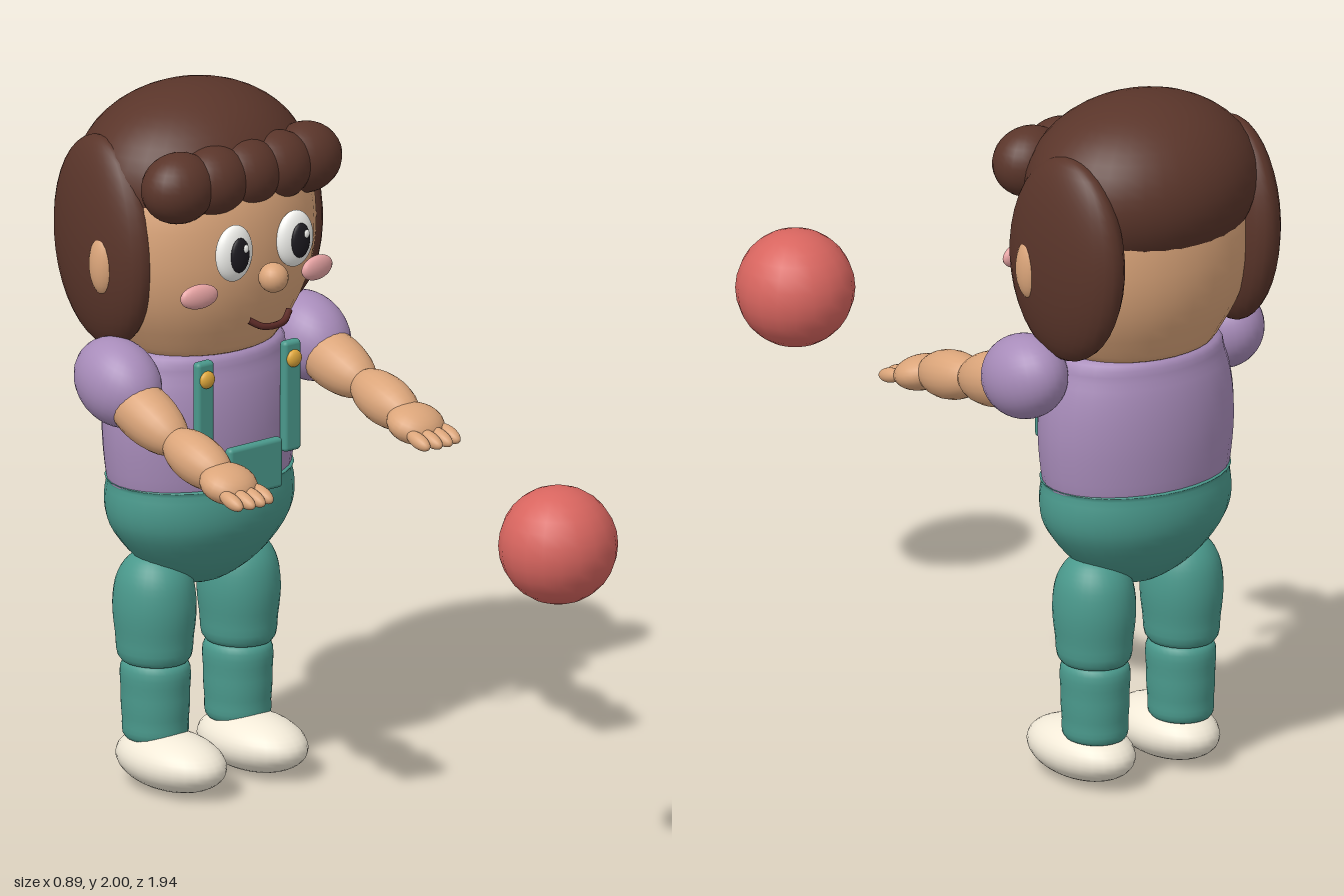
import * as THREE from 'three';
import { RoundedBoxGeometry } from 'three/addons/geometries/RoundedBoxGeometry.js';

const mat = (color) => new THREE.MeshStandardMaterial({ color });
const HAIR = mat(0x5a352a), SKIN = mat(0xdba57a), SHIRT = mat(0xa88cba), TEAL = mat(0x4a998c);
const SHOE = mat(0xf2ead8), BALL = mat(0xd8655f), GOLD = mat(0xe0a83c), WHITE = mat(0xf4f4f0);
const BLACK = mat(0x1c1a20), PINK = mat(0xe6a3a3), MOUTH = mat(0x5a2a26);

export function createModel() {
  const group = new THREE.Group();

  function add(name, geometry, material, x = 0, y = 0, z = 0, parent = group) {
    const mesh = new THREE.Mesh(geometry, material);
    mesh.name = name;
    mesh.position.set(x, y, z);
    parent.add(mesh);
    return mesh;
  }
  // Ellipsoid with centre p and radii r
  function blob(name, material, p, r, segments = 28) {
    const mesh = add(name, new THREE.SphereGeometry(1, segments, Math.round(segments * 0.7)), material, ...p);
    mesh.scale.set(...r);
    return mesh;
  }
  // Smooth turned body, flattened front to back
  function turned(name, material, profile, depth, x, z) {
    const points = new THREE.SplineCurve(profile.map(([r, y]) => new THREE.Vector2(r, y))).getPoints(24);
    points.forEach((p) => { p.x = Math.max(p.x, 0); });
    const mesh = add(name, new THREE.LatheGeometry(points, 32), material, x, 0, z);
    mesh.scale.z = depth;
    return mesh;
  }
  // Ellipsoid stretched along the line from a to b
  function limb(name, material, a, b, radius, overlap = 0.02) {
    const from = new THREE.Vector3(...a), to = new THREE.Vector3(...b);
    const mid = from.clone().add(to).multiplyScalar(0.5);
    const mesh = blob(name, material, mid.toArray(), [radius, from.distanceTo(to) / 2 + overlap, radius], 22);
    mesh.quaternion.setFromUnitVectors(new THREE.Vector3(0, 1, 0), to.sub(from).normalize());
    return mesh;
  }

  // Torso and hips
  turned('shirt', SHIRT, [[0.27, 0.86], [0.285, 0.9], [0.297, 1.02], [0.292, 1.13],
    [0.27, 1.22], [0.23, 1.28], [0, 1.3]], 0.735, 0, -0.65);
  turned('trouserSeat', TEAL, [[0, 0.56], [0.09, 0.585], [0.19, 0.65], [0.265, 0.74],
    [0.287, 0.81], [0.28, 0.88], [0.26, 0.893], [0, 0.895]], 0.775, 0, -0.648);

  // Bib pocket
  add('bibPocket', new RoundedBoxGeometry(0.19, 0.145, 0.03, 3, 0.012), TEAL, 0, 0.948, -0.411);

  // Head, cap of hair and face centre
  turned('head', SKIN, [[0, 1.26], [0.2, 1.265], [0.26, 1.32], [0.32, 1.43], [0.347, 1.56],
    [0.335, 1.71], [0.27, 1.83], [0.15, 1.92], [0, 1.95]], 0.82, 0, -0.65);
  blob('hairCap', HAIR, [0, 1.75, -0.68], [0.345, 0.25, 0.288], 36);
  for (let i = -2; i <= 2; i++) {
    blob('fringeCurl', HAIR, [i * 0.112, 1.79, -0.452 - 0.003 * i * i], [0.112, 0.1, 0.094], 24);
  }
  blob('nose', SKIN, [0, 1.52, -0.325], [0.042, 0.042, 0.042], 20);
  const smile = new THREE.CatmullRomCurve3([[-0.072, 1.405, -0.345], [-0.035, 1.385, -0.325],
    [0.035, 1.385, -0.325], [0.072, 1.405, -0.345]].map((p) => new THREE.Vector3(...p)));
  add('mouth', new THREE.TubeGeometry(smile, 20, 0.01, 8), MOUTH);

  for (const s of [-1, 1]) {
    // Side hair, ears and face details
    const lock = blob('sideHair', HAIR, [s * 0.283, 1.59, -0.715], [0.09, 0.3, 0.215]);
    lock.rotation.set(-0.08, s * 0.1, 0);
    blob('ear', SKIN, [s * 0.352, 1.553, -0.635], [0.037, 0.088, 0.046], 20);
    blob('eye', WHITE, [s * 0.108, 1.602, -0.365], [0.062, 0.081, 0.03]);
    blob('pupil', BLACK, [s * 0.108, 1.602, -0.339], [0.032, 0.05, 0.014], 20);
    blob('eyeGlint', WHITE, [s * 0.108 + 0.012, 1.622, -0.326], [0.009, 0.012, 0.005], 12);
    const cheek = blob('cheek', PINK, [s * 0.21, 1.49, -0.392], [0.06, 0.035, 0.02], 20);
    cheek.rotation.y = s * 0.15;

    // Braces and buttons
    add('brace', new RoundedBoxGeometry(0.06, 0.32, 0.03, 3, 0.012), TEAL, s * 0.155, 1.12, -0.441);
    blob('button', GOLD, [s * 0.155, 1.23, -0.424], [0.025, 0.025, 0.014], 18);

    // Legs and shoes
    turned('thigh', TEAL, [[0, 0.68], [0.06, 0.665], [0.1, 0.61], [0.113, 0.53],
      [0.106, 0.44], [0.09, 0.365], [0, 0.355]].reverse(), 1.08, s * 0.15, -0.66);
    turned('shin', TEAL, [[0, 0.13], [0.08, 0.14], [0.09, 0.2], [0.093, 0.27],
      [0.087, 0.36], [0, 0.37]], 1.08, s * 0.147, -0.66);
    blob('shoe', SHOE, [s * 0.145, 0.087, -0.593], [0.12, 0.082, 0.195]);

    // Reaching arm; the left one is held a little higher
    const lift = s > 0 ? 0.045 : 0;
    const elbow = [s * 0.335, 1.105 + lift * 0.8, -0.34];
    const palm = [s * 0.328, 1.04 + lift, -0.12 + lift * 0.3];
    const sleeve = blob('sleeve', SHIRT, [s * 0.337, 1.22, -0.59], [0.108, 0.12, 0.145]);
    sleeve.rotation.x = 0.35;
    limb('upperArm', SKIN, [s * 0.34, 1.21, -0.6], elbow, 0.08, 0.03);
    limb('forearm', SKIN, elbow, [palm[0], palm[1] + 0.012, palm[2] - 0.04], 0.07, 0.035);
    const hand = blob('palm', SKIN, palm, [0.083, 0.05, 0.08], 22);
    hand.rotation.x = 0.3;
    for (let i = 0; i < 4; i++) {
      const x = palm[0] + (i - 1.5) * 0.036;
      const reach = i === 0 || i === 3 ? 0.112 : 0.122;
      limb('finger', SKIN, [x, palm[1] - 0.012, palm[2] + 0.045],
        [x, palm[1] - 0.03, palm[2] + reach], 0.021, 0.012);
    }
  }

  // Ball in front
  blob('ball', BALL, [0.09, 1.008, 0.805], [0.166, 0.166, 0.166], 20);
  return group;
}
